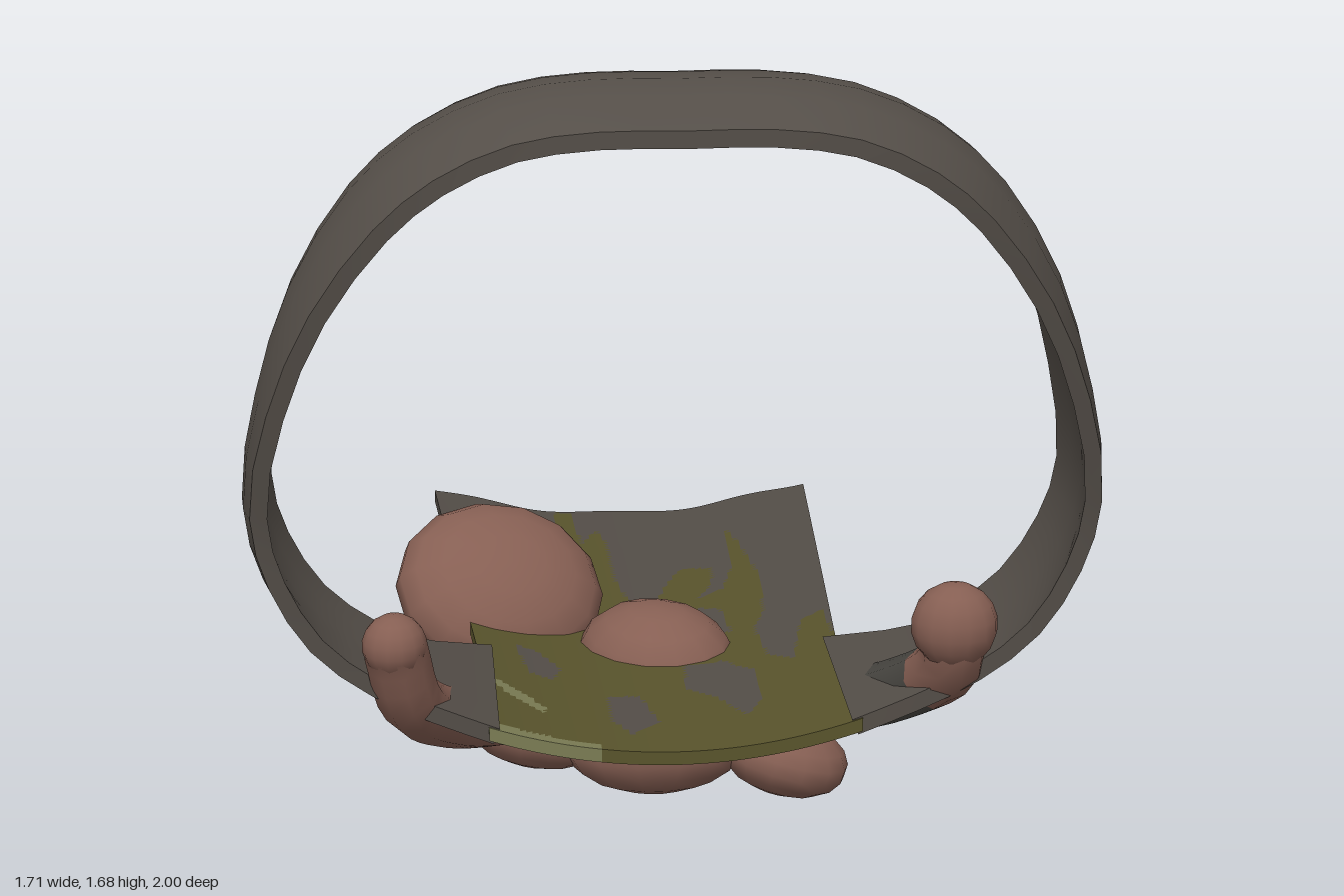
import * as THREE from 'three';

const mat = (name, color, side = THREE.FrontSide) => {
  const m = new THREE.MeshStandardMaterial({ color, side });
  m.name = name;
  return m;
};

export function createModel() {
  const model = new THREE.Group();
  const bark = mat('grey bark', 0x544e48);
  const olive = mat('olive moss', 0x59542c);
  const pale = mat('pale moss', 0x7b7c54);
  const brown = mat('brown fungus', 0x865f53);
  const stem = mat('dark stem', 0x4a4843);
  const V = (p) => new THREE.Vector3(...p);
  const lerp = THREE.MathUtils.lerp;

  const add = (name, geo, material) => {
    const mesh = new THREE.Mesh(geo, material);
    mesh.name = name;
    model.add(mesh);
    return mesh;
  };

  // Moves every vertex of a geometry by a rule
  const warp = (geo, rule) => {
    const p = geo.attributes.position;
    for (let i = 0; i < p.count; i++) p.setXYZ(i, ...rule(p.getX(i), p.getY(i), p.getZ(i)));
    geo.computeVertexNormals();
    return geo;
  };

  // Upright hoop: a slightly bulged band bent along half a profile and its mirror
  const half = [[0.36, 0.35], [0.48, 0.4], [0.6, 0.46], [0.72, 0.55], [0.805, 0.68], [0.838, 0.83],
    [0.805, 1.05], [0.735, 1.27], [0.62, 1.46], [0.5, 1.57], [0.34, 1.645], [0.17, 1.67]];
  const loop = [...half.map(([x, y]) => [-x, y, 0]), [0, 1.67, 0], ...half.slice().reverse().map(([x, y]) => [x, y, 0])];
  const arc = new THREE.CatmullRomCurve3(loop.map(V));
  const zBack = (y) => {
    if (y < 0.42) return lerp(0.28, 0.43, (y - 0.35) / 0.07);
    return y < 1.2 ? lerp(0.43, 0.6, (y - 0.42) / 0.78) : lerp(0.6, 0.65, (y - 1.2) / 0.45);
  };
  const zFront = (y) => y < 0.8 ? lerp(0.78, 0.825, (y - 0.35) / 0.45) : lerp(0.825, 1, (y - 0.8) / 0.85);
  add('hoop', warp(new THREE.BoxGeometry(1, 1, 1, 48, 1, 4), (u, side, w) => {
    const t = THREE.MathUtils.clamp(u + 0.5, 0, 1);
    const c = arc.getPoint(t), d = arc.getTangent(t);
    const rise = THREE.MathUtils.smoothstep(c.y, 0.9, 1.6);
    const bulge = THREE.MathUtils.smoothstep(c.y, 0.4, 0.7) * 0.08 * w * w;
    const off = side * 0.034 - bulge - rise * Math.pow(Math.max(0, w + 0.1), 2) * 0.13;
    return [c.x - d.y * off, c.y + d.x * off, lerp(zBack(c.y), zFront(c.y), w + 0.5)];
  }), bark);

  // Long curved slab, ragged at the back and joining the hoop in front
  const ragged = (x) => 0.025 * Math.cos(x * 19 + 0.4) * (0.4 + Math.abs(x)) + 0.1 * x * x;
  const slabY = (x, z) => lerp(0.245, 0.295, (z + 1) / 1.78) + lerp(0.3, 0.44, (z + 1) / 1.78) * x * x;
  const slab = warp(new THREE.BoxGeometry(1, 1, 1, 60, 1, 120), (u, v, w) => {
    const t = w + 0.5;
    const z = lerp(-0.965, 0.785, t);
    const x = 2 * u * lerp(0.455, 0.375, Math.min(1, t * 1.25));
    return [x, slabY(x, z) + v * 0.028, z - ragged(x) * Math.max(0, 1 - t * 6)];
  });

  // Moss outlines in plan (x, z): streaks running back, with bare gaps in front
  const moss = [
    [[-0.16, -0.95], [-0.12, -0.94], [-0.11, -0.68], [-0.07, -0.8], [-0.05, -0.7], [-0.05, -0.4], [-0.03, -0.25],
      [0.03, -0.2], [0.07, -0.36], [0.11, -0.46], [0.18, -0.44], [0.17, -0.32], [0.13, -0.22], [0.19, -0.27],
      [0.23, -0.45], [0.24, -0.72], [0.26, -0.6], [0.28, -0.3], [0.26, -0.05], [0.23, 0.05], [0.24, 0.25], [0.29, 0.3],
      [0.33, 0.07], [0.38, 0.04], [0.4, 0.8], [-0.4, 0.8], [-0.4, 0.1], [-0.38, -0.46], [-0.35, -0.46],
      [-0.34, -0.12], [-0.27, -0.2], [-0.22, -0.4], [-0.18, -0.6]],
  ];
  const bare = [
    [[-0.3, 0.17], [-0.25, 0.2], [-0.21, 0.3], [-0.23, 0.38], [-0.28, 0.35]],
    [[0.06, 0.25], [0.14, 0.24], [0.2, 0.32], [0.2, 0.52], [0.16, 0.6], [0.1, 0.45], [0.05, 0.4]],
    [[-0.12, 0.45], [-0.05, 0.44], [-0.02, 0.6], [-0.08, 0.68], [-0.12, 0.6]],
    [[0.12, -0.15], [0.17, -0.12], [0.18, 0.06], [0.1, 0.0]],
    [[-0.13, -0.05], [-0.06, -0.08], [-0.08, 0.12], [-0.13, 0.1]],
  ];
  const lichen = [
    [[-0.38, 0.44], [-0.34, 0.45], [-0.25, 0.57], [-0.26, 0.61], [-0.31, 0.55]],
    [[-0.19, -0.47], [-0.17, -0.46], [-0.17, -0.39], [-0.18, -0.4]],
    [[-0.38, 0.74], [-0.15, 0.76], [-0.15, 0.8], [-0.38, 0.8]],
  ];
  const inside = (polys, x, z) => polys.some((q) => {
    let hit = false;
    q.forEach(([ax, az], i) => {
      const [bx, bz] = q[(i + 1) % q.length];
      if ((az > z) !== (bz > z) && x < ((bx - ax) * (z - az)) / (bz - az) + ax) hit = !hit;
    });
    return hit;
  });
  const faces = [[], [], []];
  const idx = slab.index.array, sp = slab.attributes.position;
  for (let i = 0; i < idx.length; i += 3) {
    const tri = [idx[i], idx[i + 1], idx[i + 2]];
    const x = tri.reduce((s, k) => s + sp.getX(k) / 3, 0);
    const z = tri.reduce((s, k) => s + sp.getZ(k) / 3, 0);
    const kind = inside(lichen, x, z) ? 2 : inside(moss, x, z) && !inside(bare, x, z) ? 1 : 0;
    faces[kind].push(...tri);
  }
  slab.setIndex(faces.flat());
  slab.clearGroups();
  let start = 0;
  faces.forEach((f, i) => { slab.addGroup(start, f.length, i); start += f.length; });
  add('mossySlab', slab, [bark, olive, pale]);

  // Rounded fungus lumps
  const lump = (name, pos, radii, rot = [0, 0, 0], material = brown) => {
    const m = add(name, new THREE.SphereGeometry(1, 14, 9), material);
    m.position.set(...pos);
    m.scale.set(...radii);
    m.rotation.set(...rot);
  };
  // Large cap leans forward, with its dark underside facing back
  lump('largeCap', [-0.325, 0.365, -0.08], [0.235, 0.125, 0.215], [0.72, 0, -0.22]);
  lump('largeCapUnderside', [-0.355, 0.3, -0.145], [0.16, 0.09, 0.15], [0.72, 0, -0.22], stem);
  lump('middleCap', [0.01, 0.26, 0.1], [0.18, 0.125, 0.155], [0.15, -0.5, 0]);
  lump('frontLowerCap', [-0.01, 0.16, 0.33], [0.2, 0.115, 0.12]);
  lump('leftSmallCap', [0.265, 0.12, 0.33], [0.145, 0.085, 0.12], [0, 0, -0.3]);
  lump('lowestBud', [0.05, 0.1, 0.02], [0.09, 0.095, 0.09]);
  lump('rightLowerCap', [-0.26, 0.175, 0.26], [0.16, 0.09, 0.12], [0, 0, -0.2]);
  lump('rightInnerBud', [-0.23, 0.14, -0.02], [0.085, 0.07, 0.08]);
  lump('backBud', [-0.44, 0.19, -0.24], [0.09, 0.085, 0.09]);
  lump('mossyBud', [-0.455, 0.16, -0.16], [0.065, 0.05, 0.06], [0, 0, 0], olive);

  // Crooked limbs with rounded ends; bands lists the colour of equal lengths
  const limb = (name, pts, r, bands) => {
    const radial = 9, steps = bands.length * 4;
    const geo = new THREE.TubeGeometry(new THREE.CatmullRomCurve3(pts.map(V)), steps, r, radial);
    const mats = [brown, stem];
    bands.forEach((b, i) => geo.addGroup(i * 4 * radial * 6, 4 * radial * 6, mats.indexOf(b)));
    add(name, geo, mats);
    lump(name + 'Tip', pts[0], [r, r, r], [0, 0, 0], bands[0]);
    lump(name + 'End', pts[pts.length - 1], [r, r, r], [0, 0, 0], bands[bands.length - 1]);
  };
  limb('leftLimb', [[0.555, 0.58, 0.79], [0.555, 0.48, 0.76], [0.47, 0.36, 0.6], [0.34, 0.25, 0.36],
    [0.18, 0.18, 0.16], [0, 0.17, 0.04], [-0.22, 0.18, -0.1], [-0.4, 0.2, -0.24]], 0.066,
  [brown, stem, brown, stem, stem, stem, stem, stem]);
  lump('leftLimbKnob', [0.555, 0.565, 0.785], [0.088, 0.088, 0.075]);
  limb('rightLimb', [[-0.56, 0.555, 0.8], [-0.53, 0.42, 0.74], [-0.45, 0.32, 0.58], [-0.34, 0.25, 0.4],
    [-0.2, 0.2, 0.2], [-0.08, 0.17, 0.06]], 0.065, [brown, brown, brown, brown, stem, stem]);
  limb('backStalk', [[-0.435, 0.32, -0.385], [-0.425, 0.28, -0.3], [-0.4, 0.26, -0.2], [-0.36, 0.28, -0.12]], 0.056,
    [brown, stem, stem]);
  limb('smallCapStalk', [[0.24, 0.2, 0.23], [0.26, 0.16, 0.3]], 0.055, [stem]);
  // Collar where the back stalk meets its bud
  const collar = add('stalkCollar', new THREE.TorusGeometry(0.065, 0.03, 8, 14), brown);
  collar.position.set(-0.44, 0.25, -0.24);
  collar.rotation.set(1.2, 0.2, 0);

  return model;
}
